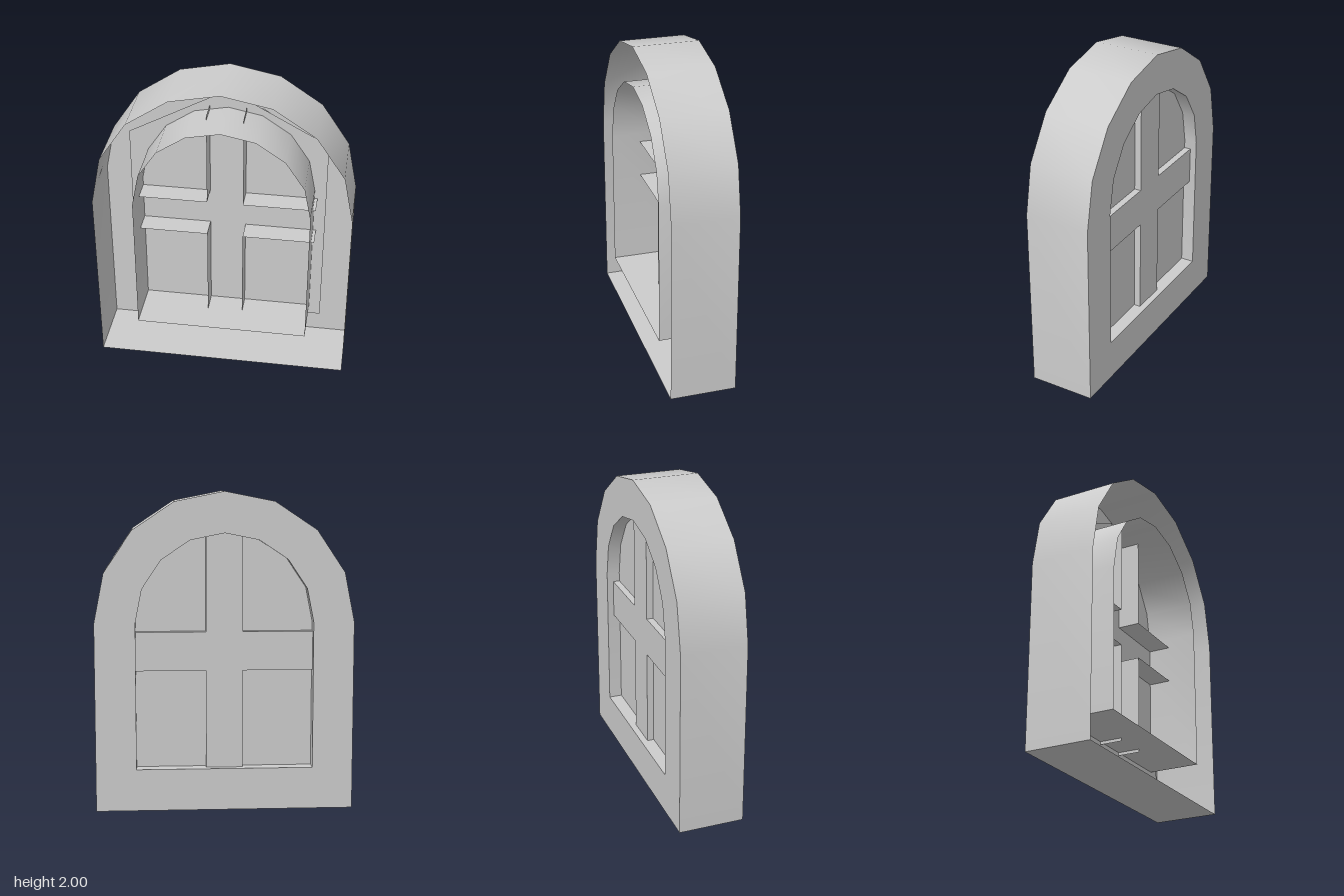
import * as THREE from 'three';
import { toCreasedNormals } from 'three/addons/utils/BufferGeometryUtils.js';

const BACK = -0.21, FRONT = 0.21, GLASS = -0.125, SPRING = 1.19;

// Round-headed outline, counter-clockwise from the lower left corner
function archPoints(radius, bottom, segments = 8) {
  const points = [new THREE.Vector2(-radius, bottom), new THREE.Vector2(radius, bottom)];
  for (let i = 0; i <= segments; i++) {
    const a = (Math.PI * i) / segments;
    points.push(new THREE.Vector2(radius * Math.cos(a), SPRING + radius * Math.sin(a)));
  }
  return points;
}

// Wall swept along z from z0 to z1; normals point outward for counter-clockwise points.
// skip(i) leaves out the wall panel that starts at point i.
function wall(points, z0, z1, skip = () => false) {
  const position = [], index = [], n = points.length;
  points.forEach((p, i) => {
    position.push(p.x, p.y, z0, p.x, p.y, z1);
    if (skip(i)) return;
    const a = 2 * i, b = 2 * ((i + 1) % n);
    index.push(a, b, b + 1, a, b + 1, a + 1);
  });
  const geometry = new THREE.BufferGeometry();
  geometry.setAttribute('position', new THREE.Float32BufferAttribute(position, 3));
  geometry.setIndex(index);
  return toCreasedNormals(geometry, Math.PI / 4);
}

// Flat panel facing -z (all outlines are symmetric in x)
function backPanel(points, z, hole) {
  const shape = new THREE.Shape(points);
  if (hole) shape.holes.push(new THREE.Path(hole));
  return new THREE.ShapeGeometry(shape).rotateY(Math.PI).translate(0, 0, z);
}

export function createModel() {
  const model = new THREE.Group();
  const material = new THREE.MeshStandardMaterial({ color: 0xcccccc, side: THREE.DoubleSide });
  const add = (name, geometry) => {
    const mesh = new THREE.Mesh(geometry, material);
    mesh.name = name;
    model.add(mesh);
  };

  // Frame: outer casing and opening lining, open towards the front
  const outer = archPoints(0.81, 0);
  const opening = archPoints(0.555, 0.265);
  add('outerCasing', wall(outer, BACK, FRONT));
  add('openingLining', wall([...opening].reverse(), BACK, FRONT));
  add('frameFace', backPanel(outer, BACK, opening));

  // Pane: flat pentagon, larger than the opening
  const pane = [[-0.63, 0.195], [0.63, 0.195], [0.63, 1.525], [0, 1.865], [-0.63, 1.525]];
  add('pane', backPanel(pane.map(([x, y]) => new THREE.Vector2(x, y)), GLASS));

  // Glazing bars: one hollow cross whose arm ends sink into the frame
  const w = 0.115, h = 0.575, y0 = 0.885, y1 = 1.13, low = 0.245, high = 1.752;
  const cross = [
    [-w, low], [w, low], [w, y0], [h, y0], [h, y1], [w, y1],
    [w, high], [-w, high], [-w, y1], [-h, y1], [-h, y0], [-w, y0],
  ].map(([x, y]) => new THREE.Vector2(x, y));
  add('glazingBarSides', wall(cross, -0.168, 0.02, (i) => i % 3 === 0));
  add('glazingBarFace', backPanel(cross, -0.168));

  return model;
}
